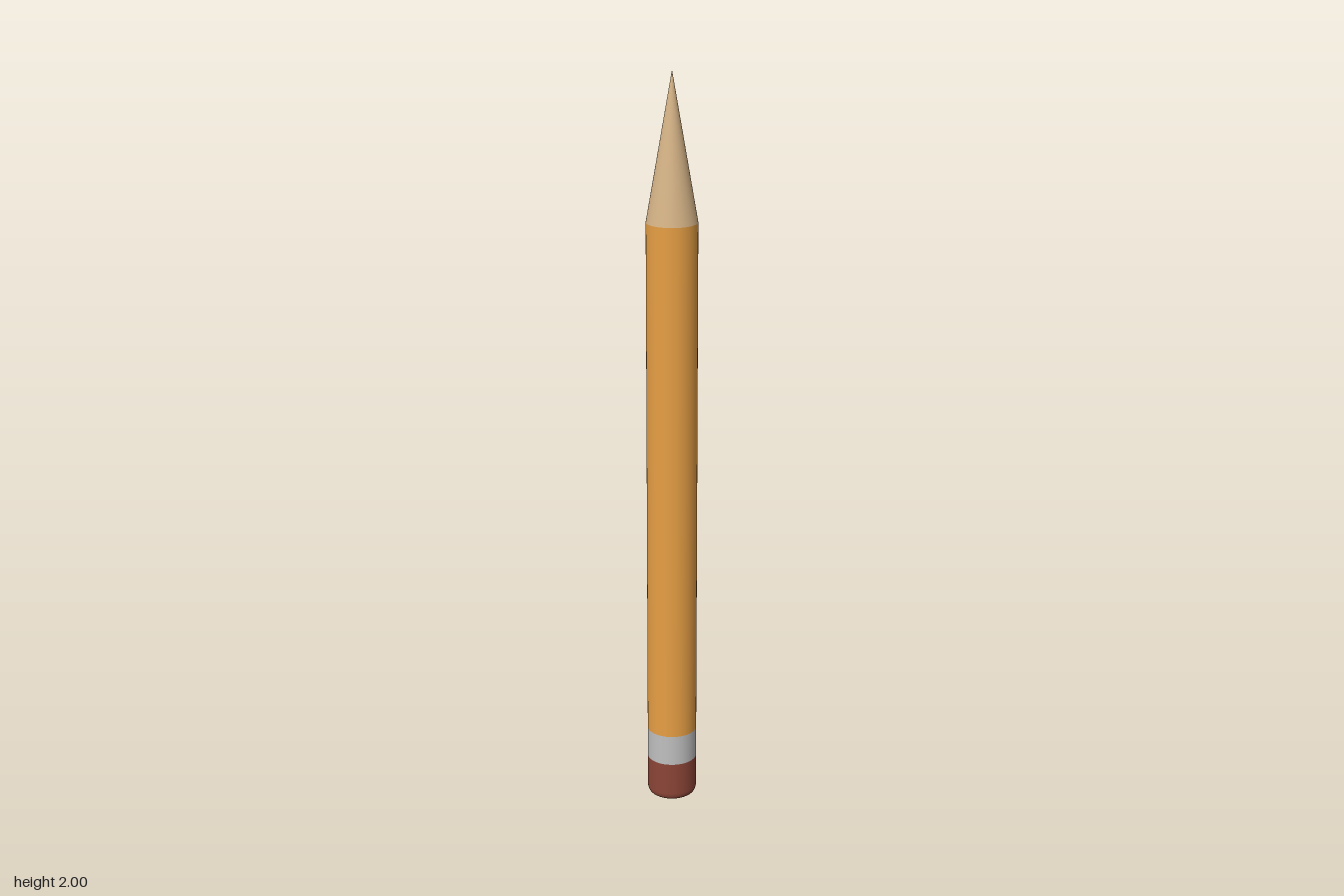
import * as THREE from 'three';

const R = 0.067, SIDES = 48;

function material(name, color) {
  const m = new THREE.MeshStandardMaterial({ color });
  m.name = name;
  return m;
}

export function createModel() {
  const group = new THREE.Group();
  group.name = 'pencil';
  const paint = material('orange paint', 0xe8a045);
  const wood = material('bare wood', 0xd6b487);
  const metal = material('grey metal', 0xc0c0c0);
  const rubber = material('red rubber', 0x8c4537);

  const add = (name, geometry, mat, y = 0) => {
    const mesh = new THREE.Mesh(geometry, mat);
    mesh.name = name;
    mesh.position.y = y;
    group.add(mesh);
    return mesh;
  };
  // Open tube between two heights
  const tube = (name, y0, y1, mat) =>
    add(name, new THREE.CylinderGeometry(R, R, y1 - y0, SIDES, 1, true), mat, (y0 + y1) / 2);

  // Eraser: rounded lower rim, straight wall and flat end
  const bevel = 0.02, inset = 0.012, profile = [];
  for (let i = 0; i <= 6; i++) {
    const a = (i / 6) * Math.PI / 2;
    profile.push(new THREE.Vector2(R - inset + inset * Math.sin(a), bevel * (1 - Math.cos(a))));
  }
  profile.push(new THREE.Vector2(R, 0.11));
  add('eraser', new THREE.LatheGeometry(profile, SIDES), rubber);
  add('eraserEnd', new THREE.CircleGeometry(R - inset, SIDES).rotateX(Math.PI / 2), rubber);

  // Ferrule, painted shaft and sharpened point
  tube('ferrule', 0.11, 0.195, metal);
  tube('shaft', 0.195, 1.615, paint);
  add('sharpenedPoint', new THREE.ConeGeometry(R, 0.385, SIDES, 1, true), wood, 1.615 + 0.385 / 2);

  return group;
}
